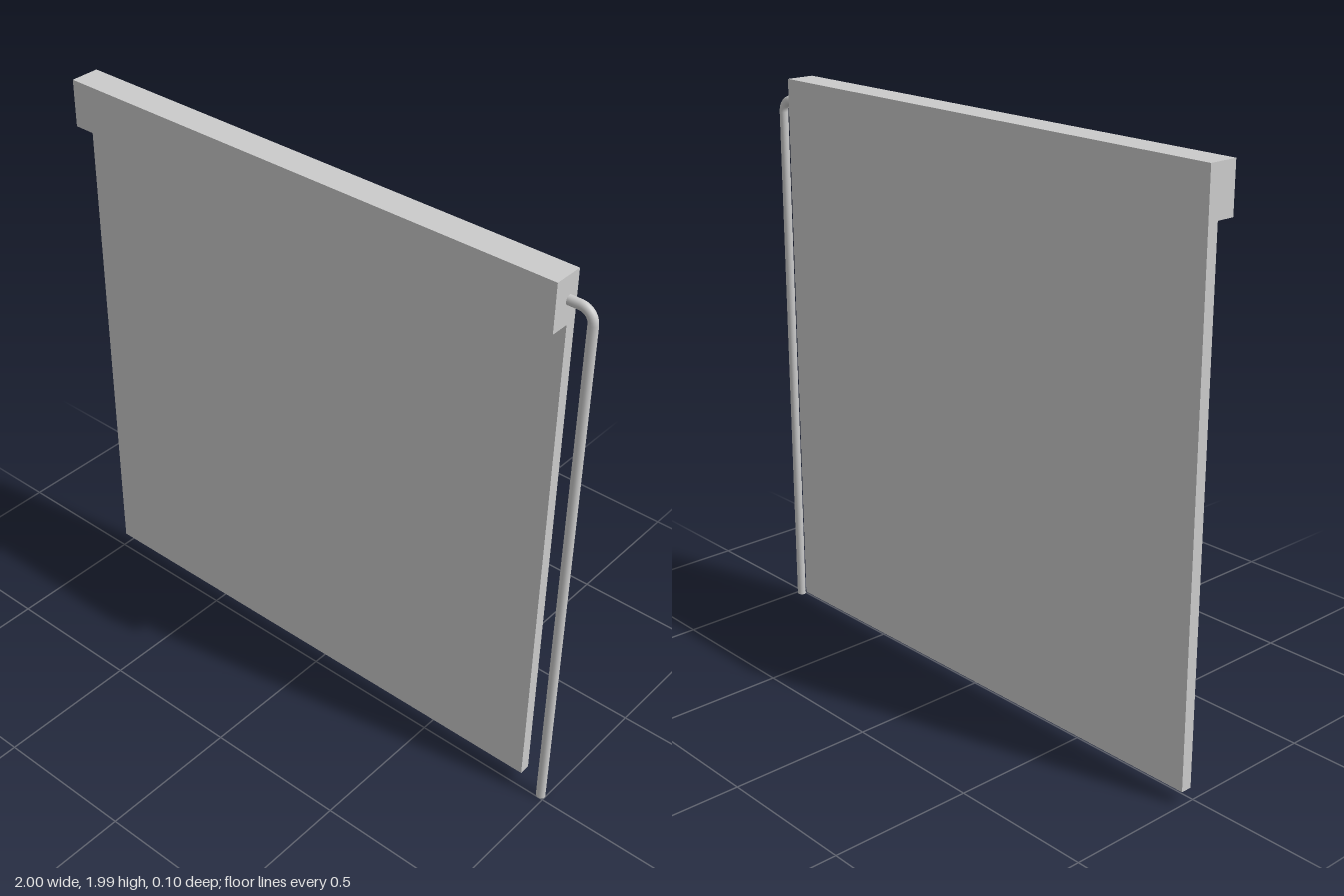
import * as THREE from 'three';

export function createModel() {
  const group = new THREE.Group();
  const material = new THREE.MeshStandardMaterial({ color: 0xcccccc });

  const add = (name, geometry) => {
    const mesh = new THREE.Mesh(geometry, material);
    mesh.name = name;
    group.add(mesh);
    return mesh;
  };
  // Box given by its lower and upper corners
  const box = (name, a, b) => add(name, new THREE.BoxGeometry(b[0] - a[0], b[1] - a[1], b[2] - a[2]))
    .position.set((a[0] + b[0]) / 2, (a[1] + b[1]) / 2, (a[2] + b[2]) / 2);

  // Hanging blind and the head box it drops from
  box('blindPanel', [-1, 0.047, -0.052], [0.9, 1.825, -0.013]);
  box('headBox', [-1, 1.825, -0.052], [0.9, 1.99, 0.052]);

  // Control rod: short arm, rounded elbow, long drop
  const r = 0.0165, x = 1 - r, y = 1.907, bend = 0.045;
  const path = new THREE.CurvePath();
  const p = (px, py) => new THREE.Vector3(px, py, 0);
  path.add(new THREE.LineCurve3(p(0.89, y), p(x - bend, y)));
  const k = bend * 0.45;
  path.add(new THREE.CubicBezierCurve3(p(x - bend, y), p(x - k, y), p(x, y - k), p(x, y - bend)));
  path.add(new THREE.LineCurve3(p(x, y - bend), p(x, 0)));
  const rod = add('controlRod', new THREE.TubeGeometry(path, 200, r, 16));
  rod.scale.z = 0.88;
  rod.position.z = -0.013;

  // Cap on the lower end of the rod
  const cap = add('rodEndCap', new THREE.CircleGeometry(r, 16).rotateX(Math.PI / 2));
  cap.scale.z = 0.88;
  cap.position.set(x, 0, -0.013);

  return group;
}
